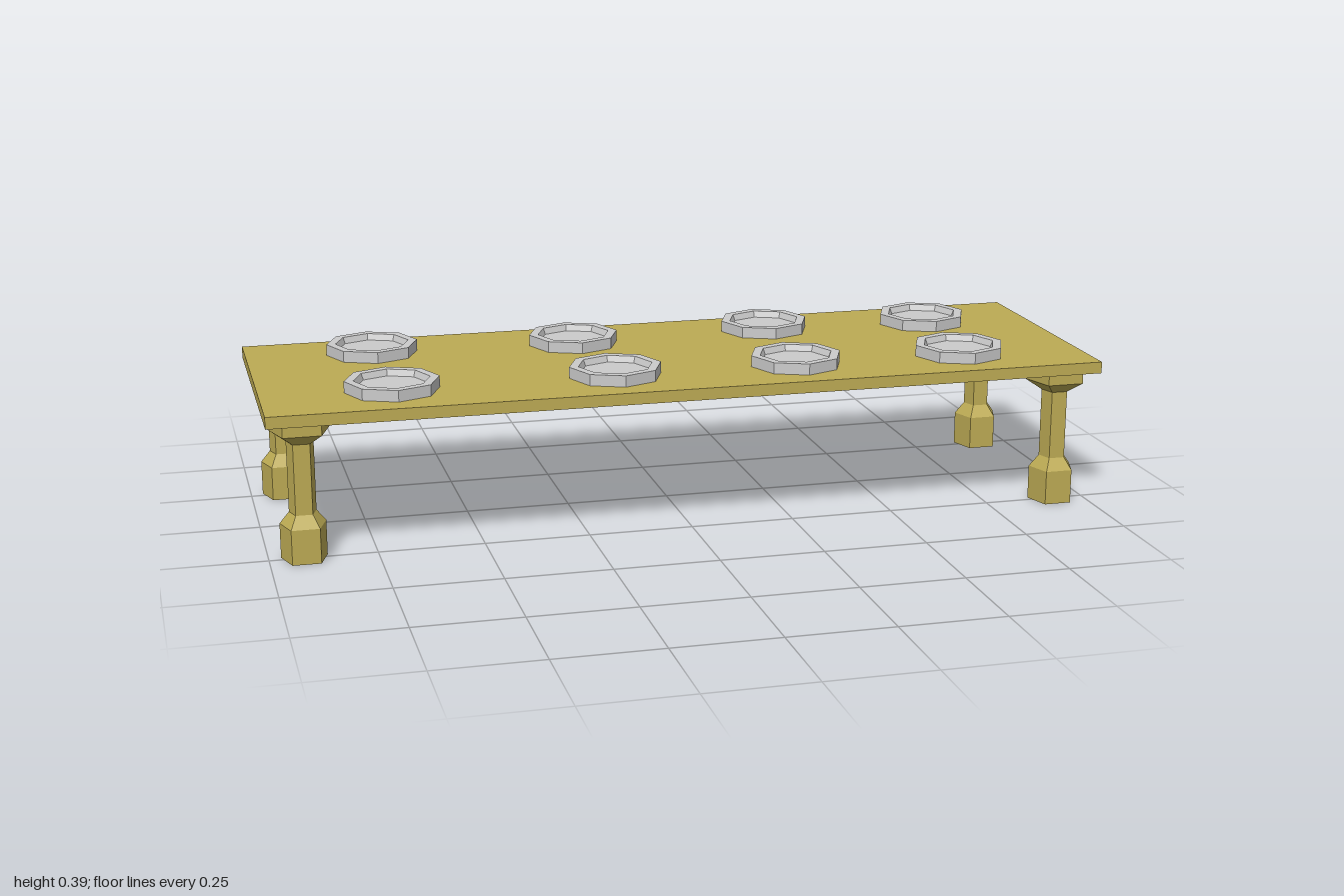
import * as THREE from 'three';

const wood = new THREE.MeshStandardMaterial({ color: 0xbdab54, flatShading: true });
const metal = new THREE.MeshStandardMaterial({ color: 0xcccccc, flatShading: true });

// Faceted turned part from a bottom-to-top profile of [radius, height]
function turned(profile, sides, start = 0) {
  const points = profile.map(([r, y]) => new THREE.Vector2(r, y));
  return new THREE.LatheGeometry(points, sides, start);
}

function addMesh(parent, name, geometry, material, x, y, z) {
  const mesh = new THREE.Mesh(geometry, material);
  mesh.name = name;
  mesh.position.set(x, y, z);
  parent.add(mesh);
}

export function createModel() {
  const table = new THREE.Group();
  table.name = 'table';

  // Flat board
  addMesh(table, 'tableTop', new THREE.BoxGeometry(2, 0.028, 0.667), wood, 0, 0.349, 0);

  // Five-sided legs with a heavy foot, slim shaft and flared capital
  const leg = turned([
    [0, 0], [0.056, 0], [0.056, 0.083], [0.033, 0.112],
    [0.033, 0.279], [0.075, 0.306], [0.075, 0.335], [0, 0.335],
  ], 5, Math.PI);
  for (const x of [-0.918, 0.918]) {
    for (const z of [-0.25, 0.252]) {
      addMesh(table, `${z > 0 ? 'front' : 'back'}${x > 0 ? 'Left' : 'Right'}Leg`, leg, wood, x, 0, z);
    }
  }

  // Eight-sided plates with a raised rim and sunken centre
  const plate = turned([
    [0, 0], [0.111, 0], [0.111, 0.027], [0.089, 0.027], [0.083, 0.012], [0, 0.012],
  ], 8);
  const rows = [
    { z: [-0.194, -0.1675, -0.194, -0.1675], x: [-0.695, -0.197, 0.305, 0.722] },
    { z: [0.1675, 0.1675, 0.1675, 0.1675], x: [-0.695, -0.167, 0.278, 0.695] },
  ];
  rows.forEach((row, r) => row.x.forEach((x, i) => {
    addMesh(table, `${r ? 'front' : 'back'}Plate${i + 1}`, plate, metal, x, 0.363, row.z[i]);
  }));

  return table;
}
